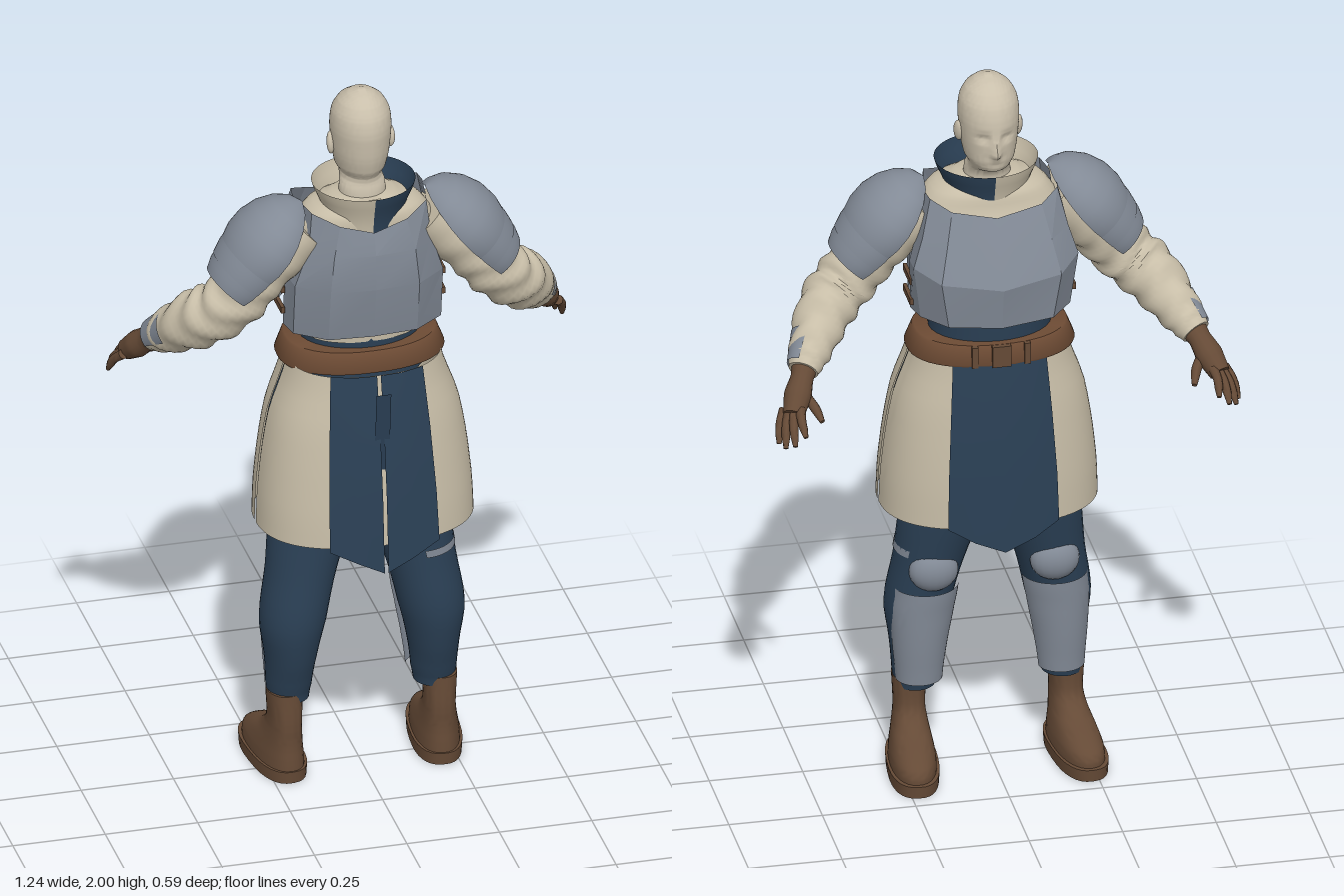
import * as THREE from 'three';
import { toCreasedNormals } from 'three/addons/utils/BufferGeometryUtils.js';

const V = (x, y, z) => new THREE.Vector3(x, y, z);
const paint = (name, color) => {
  const m = new THREE.MeshStandardMaterial({ color, side: THREE.DoubleSide });
  m.name = name;
  return m;
};

// Skin a grid of points; rows run along the part, columns run around it.
function grid(rows, closed, caps, crease = 0.8) {
  const n = rows[0].length, pos = rows.flat().flatMap(v => [v.x, v.y, v.z]), idx = [];
  const cols = closed ? n : n - 1;
  for (let i = 0; i < rows.length - 1; i++)
    for (let j = 0; j < cols; j++) {
      const k = (j + 1) % n, a = i * n + j, b = i * n + k;
      idx.push(a, b, b + n, a, b + n, a + n);
    }
  if (caps) [0, rows.length - 1].forEach((r, end) => {
    const c = rows[r].reduce((s, v) => s.add(v), V(0, 0, 0)).divideScalar(n);
    const ci = pos.length / 3;
    pos.push(c.x, c.y, c.z);
    for (let j = 0; j < n; j++) {
      const a = r * n + j, b = r * n + (j + 1) % n;
      if (end) idx.push(ci, a, b); else idx.push(ci, b, a);
    }
  });
  const g = new THREE.BufferGeometry();
  g.setAttribute('position', new THREE.Float32BufferAttribute(pos, 3));
  g.setIndex(idx);
  return toCreasedNormals(g, crease);
}

const cubic = (a, b, c, d, t) =>
  b + 0.5 * t * (c - a + t * (2 * a - 5 * b + 4 * c - d + t * (3 * (b - c) + d - a)));

// Upright loft through oval sections [y, cx, cz, rx, rz], bottom to top; angle 0 faces +z, PI/2 faces +x.
function loft(secs, { n = 32, steps = 4, p = 2, arc, caps = !arc, bend, crease } = {}) {
  const rows = [], at = i => secs[Math.max(0, Math.min(secs.length - 1, i))];
  const [t0, t1] = arc || [0, Math.PI * 2];
  for (let i = 0; i < secs.length; i++)
    for (let s = 0; s < (i < secs.length - 1 ? steps : 1); s++) {
      const [y, cx, cz, rx, rz] = at(i).map((b, k) =>
        k ? cubic(at(i - 1)[k], b, at(i + 1)[k], at(i + 2)[k], s / steps) : b + (at(i + 1)[0] - b) * s / steps);
      const row = [];
      for (let j = 0; j < n + (arc ? 1 : 0); j++) {
        const t = t0 + (t1 - t0) * j / n, q = u => Math.sign(u) * Math.abs(u) ** (2 / p);
        const v = V(cx + rx * q(Math.sin(t)), y, cz + rz * q(Math.cos(t)));
        if (bend) bend(v, t);
        row.push(v);
      }
      rows.push(row);
    }
  return grid(rows, !arc, caps, crease);
}

// Round limb along a path with a radius per point and optional cloth folds.
function limb(pts, radii, { n = 14, steps = 16, folds = 0 } = {}) {
  const curve = new THREE.CatmullRomCurve3(pts.map(p => V(...p))), f = curve.computeFrenetFrames(steps);
  const rows = [];
  for (let i = 0; i <= steps; i++) {
    const u = i / steps * (radii.length - 1), k = Math.min(Math.floor(u), radii.length - 2);
    const r = radii[k] + (radii[k + 1] - radii[k]) * (u - k), c = curve.getPoint(i / steps);
    rows.push(Array.from({ length: n }, (_, j) => {
      const a = j / n * Math.PI * 2, w = r + folds * Math.sin(i * 1.15 + 2 * Math.sin(a * 2)) * Math.sin(i / steps * Math.PI);
      return c.clone().addScaledVector(f.normals[i], w * Math.cos(a)).addScaledVector(f.binormals[i], w * Math.sin(a));
    }));
  }
  return grid(rows, true, true, 1);
}

// Symmetric sheet: each row lists points from the middle outwards.
function sheet(half, crease = 0.25) {
  return grid(half.map(r => {
    const row = [...r.slice(1).reverse().map(([x, y, z]) => V(-x, y, z)), ...r.map(p => V(...p))];
    return r[0][2] < 0 ? row.reverse() : row;
  }), false, false, crease);
}

export function createModel() {
  const cloth = paint('cream cloth', 0xc8bea8), skin = paint('pale skin', 0xc9bfab), blue = paint('navy cloth', 0x2a3f54);
  const steel = paint('steel', 0x828a96), leather = paint('brown leather', 0x654a36), strap = paint('belt leather', 0x6d4b34);
  const model = new THREE.Group();
  const add = (parent, name, geo, mat) => {
    const m = new THREE.Mesh(geo, mat);
    m.name = name;
    parent.add(m);
    return m;
  };
  const PI = Math.PI;

  // Head, looking toward -z, with the face raised and sunk by soft bumps
  const bumps = [[0, 1.815, .011, .013, .024], [0, 1.84, .008, .02, .011], [.031, 1.857, .014, .009, -.011],
    [-.031, 1.857, .014, .009, -.011], [0, 1.789, .02, .006, .006], [0, 1.765, .02, .008, .006]];
  add(model, 'head', loft([[1.62, 0, .045, .07, .065], [1.735, 0, .035, .06, .058], [1.758, 0, .012, .055, .078],
    [1.78, 0, .013, .066, .09], [1.82, 0, .017, .074, .096], [1.86, 0, .018, .078, .099], [1.9, 0, .02, .08, .098],
    [1.94, 0, .022, .075, .087], [1.97, 0, .024, .059, .066], [1.99, 0, .027, .035, .038], [2, 0, .028, .008, .009]], {
    n: 64, steps: 6, crease: 1.2, bend: v => {
      if (v.z < 0) for (const [x, y, sx, sy, h] of bumps)
        v.z -= h * Math.exp(-(((v.x - x) / sx) ** 2 + ((v.y - y) / sy) ** 2) / 1.5);
    } }), skin);

  // Torso, waist, collar
  add(model, 'shirtBody', loft([[1.3, 0, .01, .16, .12], [1.42, 0, .01, .185, .13], [1.55, 0, .02, .185, .13],
    [1.63, 0, .04, .185, .11], [1.68, 0, .045, .15, .1], [1.71, 0, .045, .08, .07]], { p: 2.3 }), cloth);
  add(model, 'waist', loft([[1.18, 0, .01, .17, .125], [1.28, 0, .005, .163, .125], [1.37, 0, .005, .17, .128]]), blue);
  const collar = [[1.63, 0, .05, .105, .105], [1.68, 0, .05, .112, .112], [1.745, 0, .05, .137, .13]];
  add(model, 'collarBlueHalf', loft(collar, { arc: [0, PI] }), blue);
  add(model, 'collarCreamHalf', loft(collar, { arc: [PI, 2 * PI] }), cloth);

  // Breastplate and backplate with faceted sides
  add(model, 'breastplate', sheet([
    [[0, 1.34, -.16], [.14, 1.35, -.145], [.2, 1.35, -.07], [.215, 1.35, -.01]],
    [[0, 1.46, -.18], [.16, 1.48, -.153], [.22, 1.5, -.08], [.217, 1.49, -.01]],
    [[0, 1.55, -.14], [.14, 1.57, -.125], [.195, 1.58, -.07], [.195, 1.58, -.01]],
    [[0, 1.635, -.1], [.12, 1.66, -.09], [.17, 1.685, -.05], [.175, 1.685, -.01]]]), steel);
  add(model, 'backplate', sheet([
    [[0, 1.33, .16], [.12, 1.33, .15], [.2, 1.33, .09], [.212, 1.33, .03]],
    [[0, 1.48, .185], [.12, 1.48, .175], [.2, 1.48, .11], [.208, 1.48, .03]],
    [[0, 1.58, .182], [.11, 1.58, .172], [.165, 1.59, .12], [.18, 1.59, .03]],
    [[0, 1.64, .165], [.09, 1.665, .155], [.155, 1.69, .11], [.168, 1.69, .04]]]), steel);

  // Belt with loops and buckle
  add(model, 'belt', loft([[1.225, 0, .008, .222, .158], [1.23, 0, .008, .224, .16], [1.278, 0, .006, .205, .15],
    [1.283, 0, .006, .2, .146]], { n: 48, steps: 1, p: 2.3 }), strap);
  for (const x of [-.07, 0, .07]) {
    const b = add(model, x ? 'beltLoop' : 'buckle', new THREE.BoxGeometry(x ? .016 : .05, .06, .014), leather);
    b.position.set(x, 1.254, x ? -.144 : -.15);
  }

  // Split skirt: front and back panels with a blue lining seen through the side slits
  const skirt = [[.76, 0, .042, .29, .217], [.9, 0, .038, .282, .21], [1.08, 0, .034, .255, .192], [1.235, 0, .03, .205, .17]];
  for (const [name, c] of [['skirtBack', 0], ['skirtFront', PI]])
    add(model, name, loft(skirt, { arc: [c - PI / 2 + .015, c + PI / 2 - .015], p: 2.4, n: 40 }), cloth);
  const lining = skirt.map(([y, x, z, rx, rz]) => [y, x, z, rx - .01, rz - .01]);
  for (const c of [PI / 2, -PI / 2])
    add(model, 'slitLining', loft(lining, { arc: [c - .1, c + .1], p: 2.4, n: 8 }), blue);

  // Front tabard, and back tabard in two flaps
  add(model, 'frontTabard', sheet([
    [[0, .7, -.205], [.08, .732, -.198], [.148, .768, -.178]], [[0, .9, -.192], [.08, .9, -.186], [.145, .9, -.17]],
    [[0, 1.08, -.175], [.08, 1.08, -.169], [.135, 1.08, -.15]], [[0, 1.235, -.15], [.07, 1.235, -.146], [.125, 1.235, -.125]]], .6), blue);
  const flap = [[.695, .292, .29, .272, .148, .765], [.9, .275, .272, .254, .145, .9], [1.08, .248, .245, .222, .136, 1.08],
    [1.24, .212, .208, .188, .125, 1.24]].map(([y, z0, z1, z2, w, yo]) =>
    [V(.005, y, z0), V(w * .5, (y + yo) / 2, z1), V(w, yo, z2)]);
  add(model, 'backFold', new THREE.PlaneGeometry(.04, .42), blue).position.set(0, 1.0, .242);
  model.getObjectByName('backFold').rotation.x = .1;

  // Everything that comes in pairs is built for +x and mirrored
  for (const side of [1, -1]) {
    const g = new THREE.Group();
    g.name = side > 0 ? 'leftSide' : 'rightSide';
    g.scale.x = side;
    model.add(g);
    add(g, 'backTabardFlap', grid(flap, false, false, .6), blue);

    // Ear and side straps
    const ear = add(g, 'ear', new THREE.SphereGeometry(1, 14, 10), skin);
    ear.position.set(.08, 1.845, .018);
    ear.scale.set(.011, .031, .018);
    ear.rotation.set(-.2, .35, 0);
    for (const y of [1.38, 1.44]) add(g, 'sideStrap', new THREE.BoxGeometry(.01, .018, .09), leather).position.set(.217, y, .005);

    // Layered shoulder armour around the upper arm
    const pauldron = new THREE.Group();
    pauldron.name = 'pauldron';
    pauldron.position.set(.27, 1.575, .053);
    pauldron.rotation.z = .695;
    pauldron.scale.z = 1.22;
    g.add(pauldron);
    const lames = [[[.078, -.138], [.088, -.11], [.093, -.07]], [[.092, -.093], [.099, -.06], [.102, -.02]],
      [[.1, -.045], [.108, -.01], [.107, .035], [.094, .08], [.07, .12], [.04, .148], [.002, .162]]];
    lames.forEach((pts, i) => add(pauldron, 'lame' + (i + 1),
      new THREE.LatheGeometry(pts.map(p => new THREE.Vector2(...p)), 28, PI / 2 - 1.75, 3.5), steel));

    // Sleeve with folds, forearm guard
    add(g, 'sleeve', limb([[.17, 1.63, .05], [.28, 1.53, .06], [.36, 1.43, .06], [.435, 1.365, .01], [.5, 1.285, -.085],
      [.525, 1.255, -.125]], [.085, .085, .08, .078, .055, .04], { n: 28, steps: 44, folds: .006 }), cloth);
    const guard = add(g, 'forearmGuard', new THREE.LatheGeometry([[.047, -.045], [.056, 0], [.064, .045]]
      .map(p => new THREE.Vector2(...p)), 14, PI / 2 - .9, 1.8), steel);
    guard.position.set(.501, 1.284, -.086);
    guard.quaternion.setFromUnitVectors(V(0, 1, 0), V(-.43, .5, .66).normalize());

    // Glove: cuff, palm, fingers, thumb
    add(g, 'glovePalm', limb([[.517, 1.265, -.112], [.532, 1.242, -.142], [.55, 1.21, -.175], [.57, 1.175, -.215]],
      [.036, .03, .037, .028]), leather);
    const tips = [[.552, 1.145, -.292], [.58, 1.12, -.29], [.602, 1.108, -.272], [.614, 1.108, -.242]];
    tips.forEach(([x, y, z], i) => {
      const k = [.552 + i * .012, 1.19 - i * .004, -.218 + i * .011];
      add(g, 'finger', limb([k, [(k[0] + x) / 2 + .004, (k[1] + y) / 2 + .008, (k[2] + z) / 2], [x, y, z]],
        [.014, .013, .012, .011, .006], { n: 8, steps: 8 }), leather);
    });
    add(g, 'thumb', limb([[.54, 1.215, -.165], [.512, 1.185, -.195], [.497, 1.158, -.237]],
      [.018, .014, .013, .007], { n: 8, steps: 8 }), leather);

    // Trouser leg, greave, knee cap
    add(g, 'trouserLeg', loft([[.225, .197, .025, .055, .06], [.26, .196, .025, .06, .067], [.35, .193, .032, .069, .083],
      [.46, .187, .034, .088, .096], [.6, .16, .018, .095, .097], [.76, .125, 0, .115, .104], [.98, .1, .005, .115, .12]]), blue);
    add(g, 'greave', loft([[.25, .19, 0, .062, .058], [.36, .187, .005, .074, .073], [.46, .18, .005, .085, .08],
      [.525, .172, .005, .088, .085]], { arc: [PI - 1.55, PI + 1.45], n: 20 }), steel);
    const knee = add(g, 'kneeCap', new THREE.SphereGeometry(1, 20, 14), steel);
    knee.position.set(.162, .59, -.055);
    knee.scale.set(.066, .06, .044);

    // Boot with sole, toes turned slightly out
    const boot = new THREE.Group();
    boot.name = 'boot';
    boot.position.set(.21, 0, .03);
    boot.rotation.y = -.1;
    g.add(boot);
    add(boot, 'bootUpper', loft([[.025, 0, -.08, .062, .152], [.06, 0, -.078, .06, .148], [.09, 0, -.055, .054, .122],
      [.12, 0, -.02, .047, .086], [.16, 0, .003, .042, .064], [.25, 0, .003, .046, .058]], { p: 2.3 }), leather);
    add(boot, 'bootSole', loft([[0, 0, -.084, .066, .157], [.034, 0, -.084, .068, .16]], { steps: 1, p: 2.5 }), leather);
  }

  // Steel knee strap on one leg only
  add(model, 'kneeStrap', loft([[.627, .155, .017, .099, .1], [.648, .15, .015, .101, .102]], { arc: [0, 2.3], n: 16, steps: 1 }), steel);
  return model;
}
